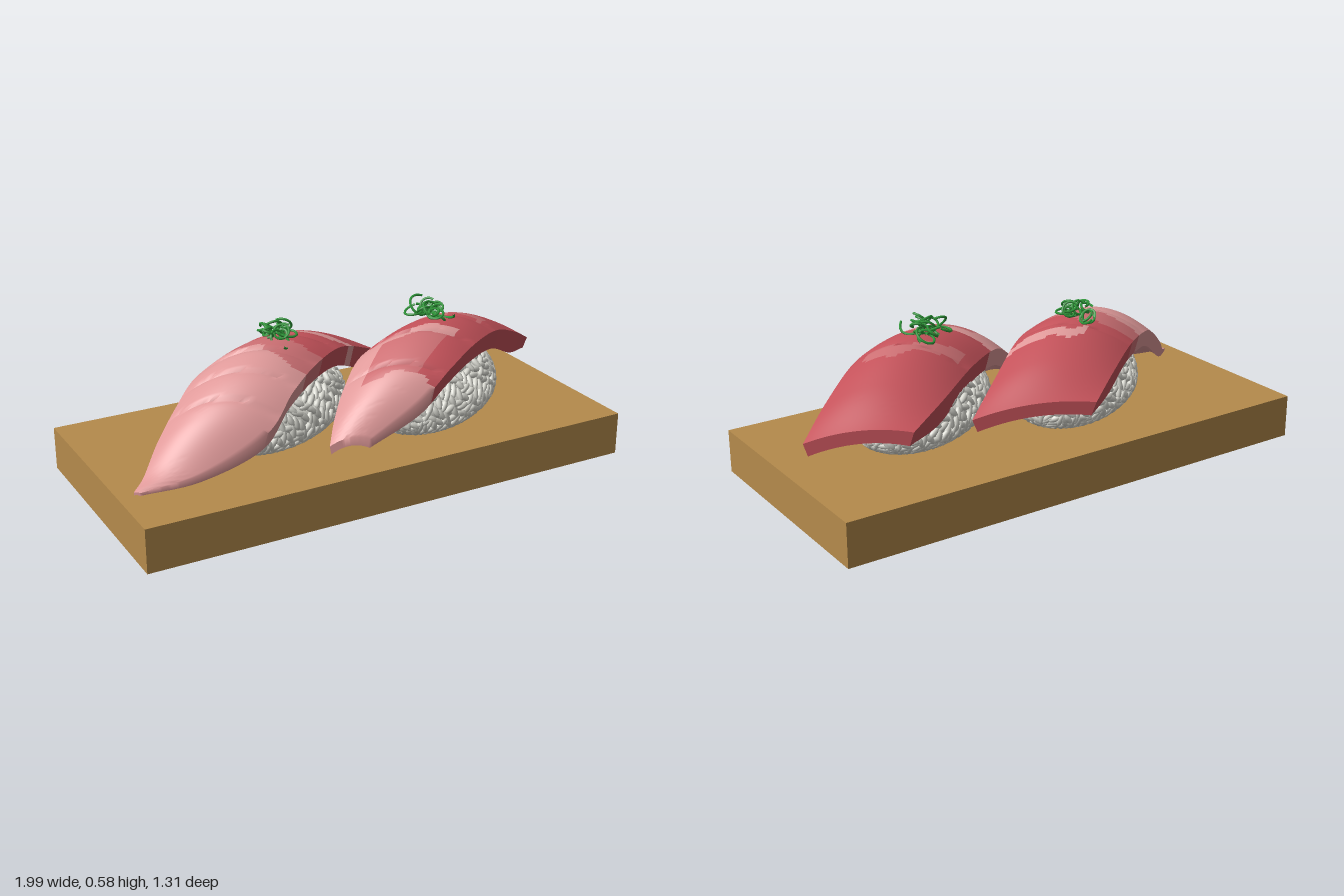
import * as THREE from 'three';
import { mergeGeometries, toCreasedNormals } from 'three/addons/utils/BufferGeometryUtils.js';

const material = (name, color) => {
  const m = new THREE.MeshStandardMaterial({ color });
  m.name = name;
  return m;
};

// Small seeded random generator
function seeded(seed) {
  return () => {
    seed = (seed * 1664525 + 1013904223) >>> 0;
    return seed / 4294967296;
  };
}

// Curved fish slice. Stations run from back to front:
// [left x, z, y, right x, z, y, crown height, thickness]
function fishGeometry(stations, grooves, colourAt) {
  const curve = (a, b, c) => new THREE.CatmullRomCurve3(
    stations.map((s) => new THREE.Vector3(s[a], s[b], c === undefined ? 0 : s[c])), false, 'catmullrom', 0.5);
  const left = curve(0, 1, 2), right = curve(3, 4, 5), shape = curve(6, 7);
  const rows = 100, cols = 22, ring = 2 * cols + 2;
  const positions = [], buckets = [[], [], []];
  for (let i = 0; i <= rows; i++) {
    const u = (i / rows) * (stations.length - 1);
    const l = left.getPoint(i / rows), r = right.getPoint(i / rows), k = shape.getPoint(i / rows);
    for (let j = 0; j < ring; j++) {
      const top = j <= cols;
      const s = top ? (2 * j) / cols - 1 : 1 - (2 * (j - cols - 1)) / cols;
      const w = (s * (top ? 1 : 0.92) + 1) / 2;
      let y = l.z + (r.z - l.z) * w + k.x * (1 - s * s);
      if (top) {
        // shallow overlapping folds across the slice
        for (const g of grooves) {
          const d = u - g - 0.12 * s;
          if (d > 0 && d < 0.5) y -= 0.012 * Math.exp(-d * 9) * (1 - s ** 6);
        }
      } else y -= k.y;
      positions.push(l.x + (r.x - l.x) * w, Math.max(y, 0.157), l.y + (r.y - l.y) * w);
    }
  }
  for (let i = 0; i < rows; i++) {
    const u = ((i + 0.5) / rows) * (stations.length - 1);
    for (let j = 0; j < ring; j++) {
      const n = (j + 1) % ring;
      const s = j < cols ? (2 * j + 1) / cols - 1 : j === cols ? 1 : j === ring - 1 ? -1 : 1 - (2 * (j - cols) - 1) / cols;
      const a = i * ring + j, b = i * ring + n, c = a + ring, d = b + ring;
      buckets[colourAt(u, s)].push(a, c, b, b, c, d);
    }
  }
  // end faces
  const end = rows * ring;
  for (let j = 0; j < cols; j++) {
    const a = j, b = j + 1, c = ring - 2 - j, d = ring - 1 - j;
    buckets[0].push(a, b, c, a, c, d);
    buckets[2].push(end + a, end + c, end + b, end + a, end + d, end + c);
  }
  const g = new THREE.BufferGeometry();
  g.setAttribute('position', new THREE.Float32BufferAttribute(positions, 3));
  g.setIndex(buckets.flat());
  let start = 0;
  buckets.forEach((b, m) => {
    g.addGroup(start, b.length, m);
    start += b.length;
  });
  return toCreasedNormals(g, 0.8);
}

// Rice mound: grains laid tangent to a flattened ellipsoid
function riceGeometry(seed) {
  const rand = seeded(seed), parts = [];
  const a = 0.34, b = 0.2, up = 0.165, down = 0.1, count = 620;
  const grain = new THREE.SphereGeometry(1, 7, 5);
  const zAxis = new THREE.Vector3(0, 0, 1);
  for (let i = 0; i < count; i++) {
    const dy = 1 - 1.7 * ((i + 0.5) / count), q = Math.sqrt(1 - dy * dy), t = i * 2.39996;
    const dx = q * Math.cos(t), dz = q * Math.sin(t), h = dy > 0 ? up : down;
    const p = new THREE.Vector3(a * dx, 0.245 + h * dy - 0.008, b * dz);
    const normal = new THREE.Vector3(dx / a, dy / h, dz / b).normalize();
    const turn = new THREE.Quaternion().setFromUnitVectors(zAxis, normal)
      .multiply(new THREE.Quaternion().setFromAxisAngle(zAxis, rand() * Math.PI));
    const size = new THREE.Vector3(0.026 + rand() * 0.006, 0.0115, 0.011);
    parts.push(grain.clone().applyMatrix4(new THREE.Matrix4().compose(p, turn, size)));
  }
  const core = new THREE.SphereGeometry(1, 24, 14);
  core.scale(a - 0.012, 0.09, b - 0.012).translate(0, 0.248, 0);
  parts.push(core);
  return mergeGeometries(parts);
}

// Heap of thin curled green shreds
function garnishGeometry(seed) {
  const rand = seeded(seed), parts = [];
  for (let i = 0; i < 11; i++) {
    const r = 0.018 + rand() * 0.02, turns = 0.8 + rand() * 0.8, phase = rand() * 6.28, pts = [];
    for (let k = 0; k <= 12; k++) {
      const t = phase + (k / 12) * turns * Math.PI * 2, rr = r * (0.7 + 0.05 * k);
      pts.push(new THREE.Vector3(rr * Math.cos(t), (k / 12 - 0.5) * 0.03, rr * Math.sin(t)));
    }
    const tube = new THREE.TubeGeometry(new THREE.CatmullRomCurve3(pts), 30, 0.0045, 5);
    tube.rotateX((rand() - 0.5) * 1.8).rotateZ((rand() - 0.5) * 1.8);
    const angle = rand() * 6.28, d = 0.055 * Math.sqrt(rand());
    tube.translate(d * Math.cos(angle), 0.012 + rand() * 0.032, d * Math.sin(angle));
    parts.push(tube);
  }
  return mergeGeometries(parts);
}

export function createModel() {
  const model = new THREE.Group();
  const wood = material('wood', 0xb58b4c);
  const rice = material('rice', 0xdcdcd4);
  const green = material('green', 0x2f9a3a);
  const flesh = [material('red flesh', 0xc4525a), material('rose flesh', 0xcd7074), material('pink flesh', 0xe09a9a)];

  const add = (parent, name, geometry, mat, x = 0, y = 0, z = 0, ry = 0) => {
    const mesh = new THREE.Mesh(geometry, mat);
    mesh.name = name;
    mesh.position.set(x, y, z);
    mesh.rotation.y = ry;
    parent.add(mesh);
  };

  add(model, 'board', new THREE.BoxGeometry(1.833, 0.156, 0.866), wood, 0, 0.078, 0, Math.PI / 12);

  // marbling: 0 red, 1 rose, 2 pink
  const wave = (s, k) => 0.1 * Math.sin(s * 4 + k) + 0.04 * Math.sin(s * 11 + k);
  const rightColours = (u, s) => {
    const e = u + wave(s, 0.5);
    if (e < 1.75) return 0;
    if (e < 2.05 && s > -0.85 && s < 0.75) return 1;
    if (e < 2.8) return 0;
    if (e < 3.1) return s < 0.6 ? 2 : 0;
    if (e < 4.5 && s > -0.55) return s > 0.55 ? 0 : 1;
    return 2;
  };
  const leftColours = (u, s) => {
    const e = u + wave(s, 2);
    if (e < 1.7 - 0.25 * s) return 0;
    if (e < 1.95 - 0.25 * s && s > -0.3) return 2;
    if (e < 2.35 + 0.35 * s) return 0;
    if (e < 2.9 + 0.5 * s) return 1;
    return 2;
  };

  const pieces = [
    {
      name: 'right', seed: 7, rice: [-0.23, 0.01], top: [-0.235, 0.492, 0], colours: leftColours,
      grooves: [2.0, 2.9, 3.7, 4.5],
      stations: [
        [-0.15, -0.38, 0.32, 0.26, -0.30, 0.28, 0.025, 0.045],
        [-0.26, -0.26, 0.37, 0.14, -0.17, 0.36, 0.06, 0.08],
        [-0.40, -0.09, 0.40, 0.01, -0.02, 0.43, 0.075, 0.07],
        [-0.52, 0.05, 0.39, -0.11, 0.12, 0.43, 0.08, 0.065],
        [-0.60, 0.16, 0.34, -0.22, 0.25, 0.39, 0.075, 0.06],
        [-0.68, 0.26, 0.26, -0.33, 0.345, 0.29, 0.075, 0.055],
        [-0.74, 0.36, 0.19, -0.55, 0.40, 0.20, 0.025, 0.03],
        [-0.78, 0.42, 0.168, -0.76, 0.43, 0.168, 0.002, 0.01],
      ],
    },
    {
      name: 'left', seed: 31, rice: [0.35, -0.02], top: [0.335, 0.5, -0.04], colours: rightColours,
      grooves: [1.95, 2.9, 4.1],
      stations: [
        [0.50, -0.45, 0.33, 0.83, -0.32, 0.285, 0.025, 0.045],
        [0.36, -0.31, 0.37, 0.73, -0.20, 0.36, 0.06, 0.085],
        [0.20, -0.12, 0.40, 0.60, -0.05, 0.43, 0.085, 0.07],
        [0.07, 0.02, 0.40, 0.47, 0.09, 0.44, 0.078, 0.065],
        [-0.01, 0.12, 0.34, 0.34, 0.22, 0.41, 0.07, 0.06],
        [-0.07, 0.22, 0.27, 0.22, 0.285, 0.33, 0.06, 0.055],
        [-0.11, 0.31, 0.205, 0.03, 0.33, 0.225, 0.02, 0.03],
      ],
    },
  ];
  for (const p of pieces) {
    const piece = new THREE.Group();
    piece.name = p.name + ' piece';
    add(piece, 'rice mound', riceGeometry(p.seed), rice, p.rice[0], 0, p.rice[1], 0.85);
    add(piece, 'fish slice', fishGeometry(p.stations, p.grooves, p.colours), flesh);
    add(piece, 'green garnish', garnishGeometry(p.seed + 4), green, ...p.top);
    model.add(piece);
  }
  return model;
}
